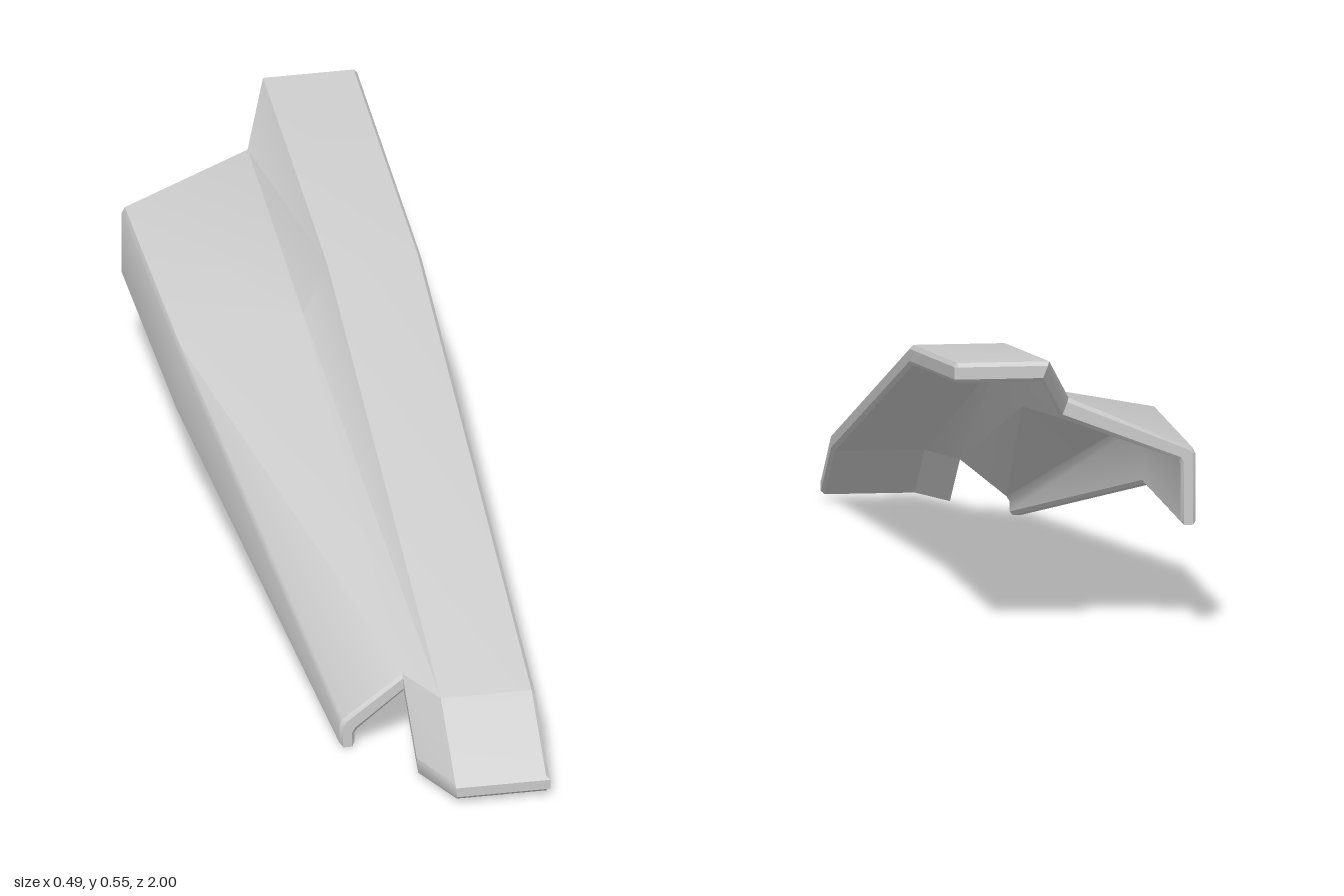
import * as THREE from 'three';
import { toCreasedNormals } from 'three/addons/utils/BufferGeometryUtils.js';

const BEVEL = 0.007;
const PINCH = 0.2; // how far the two skins close up at a bevelled edge

// Stations along z: zIn for the flange side, zOut for the raised rail;
// x = flange position, yA/yB = flange bottom/top, yC/yD = foot/top of the step,
// s = sideways shift of the step's inner skin, t = thickness
const back = { zIn: -0.88, zOut: -1.0, x: -0.248, yA: 0.208, yB: 0.36, yC: 0.463, yD: 0.553, s: 0.016, t: 0.04 };
const middle = { zIn: -0.3, zOut: -0.33, x: -0.248, yA: 0.208, yB: 0.36, yC: 0.405, yD: 0.495, s: 0.016, t: 0.04 };
const bend = { zIn: 0.73, zOut: 0.85, x: -0.122, yA: 0.003, yB: 0.062, yC: 0.152, yD: 0.155, s: 0.003, t: 0.037 };
const tip = { zIn: 0.88, zOut: 1.0, x: -0.122, yA: 0, yB: 0, yC: 0.044, yD: 0.045, s: 0.003, t: 0.033 };

// Same station moved along z, optionally with its skins pinched together
const rim = (row, dz, pinch) => ({ ...row, zIn: row.zIn + dz, zOut: row.zOut + dz, pinch });

// Cross-section: pairs of outer and inner skin points, flange bottom to rail edge
function section(r) {
  const { x, yA, yB, yC, yD, s, t } = r;
  const pairs = [
    [x, yA, x + 0.03, yA, true],
    [x, yA + BEVEL, x + 0.03, yA + BEVEL],
    [x, yB - 0.012, x + 0.03, yB - 0.032],
    [x + 0.006, yB, x + 0.036, yB - 0.022],
    [0.003, yC, 0.003 + s, yC - t],
    [0.057, yD, 0.057 + s, yD - t],
    [0.245 - BEVEL, yD, 0.245 - BEVEL, yD - t],
    [0.245, yD, 0.245, yD - t, true],
  ];
  return pairs.map(([ox, oy, ix, iy, edge], c) => {
    const z = c < 5 ? r.zIn : r.zOut;
    const a = new THREE.Vector3(ox, oy, z), b = new THREE.Vector3(ix, iy, z);
    const k = r.pinch || edge ? PINCH : 0;
    return [a.clone().lerp(b, k), b.clone().lerp(a, k)];
  });
}

// Sheet of two skins between columns c0..c1, with walls on the chosen edges
function sheet(name, rows, c0, c1, { start = false, end = false }) {
  const g = rows.map(section);
  const pos = [];
  const quad = (a, b, c, d) => [a, b, c, a, c, d].forEach((p) => pos.push(p.x, p.y, p.z));
  const last = g.length - 1;
  for (let r = 0; r < last; r++) {
    const p = g[r], q = g[r + 1];
    for (let c = c0; c < c1; c++) {
      quad(p[c][0], q[c][0], q[c + 1][0], p[c + 1][0]);
      quad(p[c + 1][1], q[c + 1][1], q[c][1], p[c][1]);
    }
    quad(p[c0][0], p[c0][1], q[c0][1], q[c0][0]);
    quad(q[c1][0], q[c1][1], p[c1][1], p[c1][0]);
  }
  for (let c = c0; c < c1; c++) {
    const p = g[0], q = g[last];
    if (start) quad(p[c + 1][0], p[c + 1][1], p[c][1], p[c][0]);
    if (end) quad(q[c][0], q[c][1], q[c + 1][1], q[c + 1][0]);
  }
  const geo = new THREE.BufferGeometry();
  geo.setAttribute('position', new THREE.Float32BufferAttribute(pos, 3));
  const mesh = new THREE.Mesh(
    toCreasedNormals(geo, 0.6),
    new THREE.MeshStandardMaterial({ color: 0xcccccc, side: THREE.DoubleSide })
  );
  mesh.name = name;
  return mesh;
}

export function createModel() {
  const group = new THREE.Group();
  group.name = 'foldedPanel';
  const bendRow = rim(bend, -BEVEL, false);
  group.add(
    // Flange, sloping web, step and raised rail
    sheet('mainPanel', [rim(back, 0, true), rim(back, BEVEL, false), middle, bendRow], 0, 7, { start: true }),
    // Bevelled front edge of the flange and web
    sheet('flangeFrontEdge', [bendRow, rim(bend, 0, true)], 0, 4, { end: true }),
    // Downturned front of the rail
    sheet('frontLip', [bendRow, rim(tip, -BEVEL, false), rim(tip, 0, true)], 4, 7, { end: true })
  );
  return group;
}
